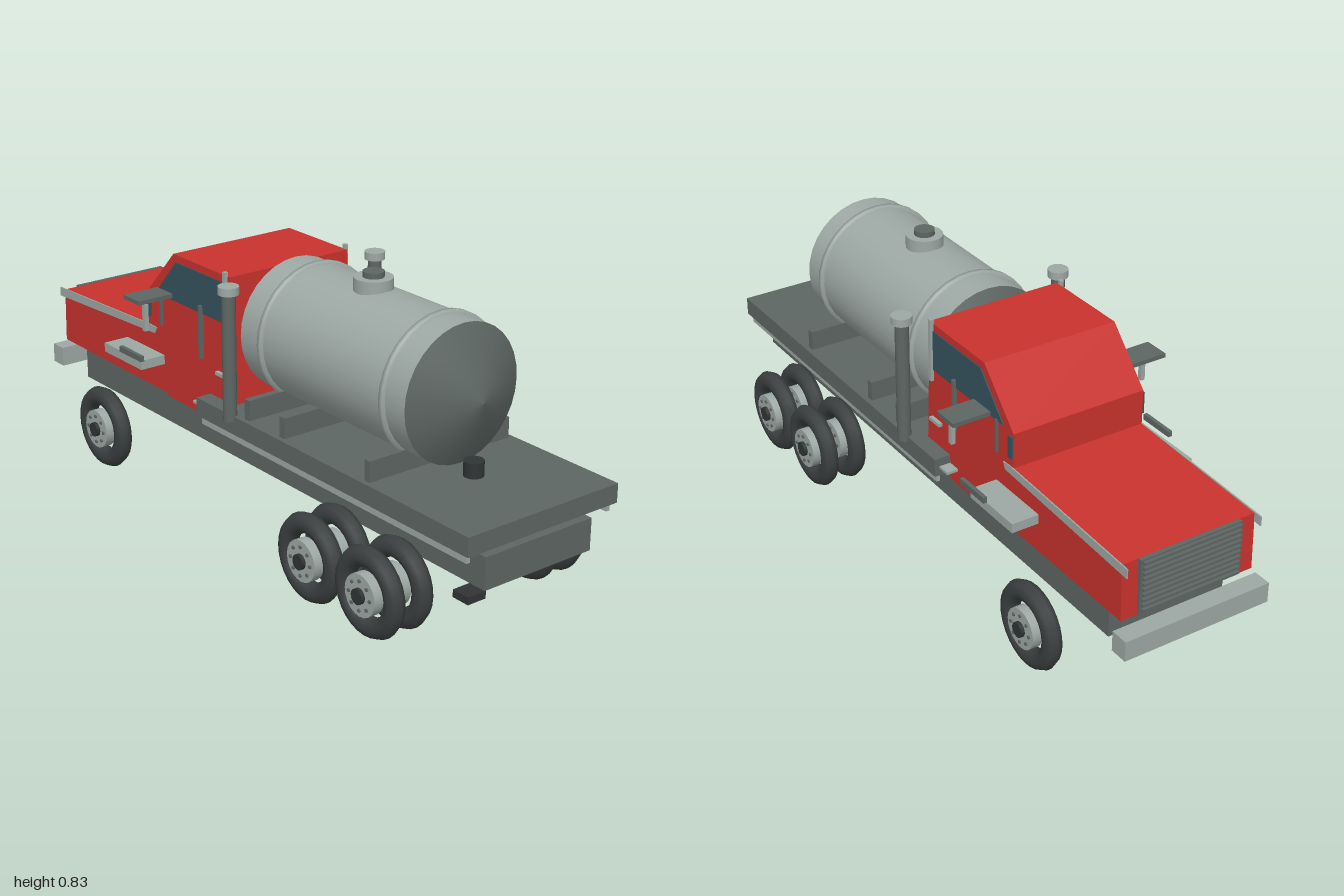
import * as THREE from 'three';

const mat = (color) => new THREE.MeshStandardMaterial({ color });

export function createModel() {
  const root = new THREE.Group();
  const red = mat(0xc8322d), dark = mat(0x5d6663), light = mat(0x9da8a4);
  const rubber = mat(0x3c4040), black = mat(0x303434), glass = mat(0x35535f), orange = mat(0xd0853f);
  light.side = THREE.DoubleSide;

  function add(name, geometry, material, x = 0, y = 0, z = 0, parent = root) {
    const mesh = new THREE.Mesh(geometry, material);
    mesh.name = name;
    mesh.position.set(x, y, z);
    parent.add(mesh);
    return mesh;
  }
  // Box given by its extents on each axis
  function box(name, material, x0, x1, y0, y1, z0, z1) {
    return add(name, new THREE.BoxGeometry(x1 - x0, y1 - y0, z1 - z0), material,
      (x0 + x1) / 2, (y0 + y1) / 2, (z0 + z1) / 2);
  }
  // The same box on both sides of the truck
  function sideBoxes(name, material, x0, x1, y0, y1, z0, z1) {
    box(name + 'Left', material, x0, x1, y0, y1, z0, z1);
    box(name + 'Right', material, x0, x1, y0, y1, -z1, -z0);
  }
  // Upright cylinder from y0 to y1
  function post(name, material, r, x, y0, y1, z) {
    return add(name, new THREE.CylinderGeometry(r, r, y1 - y0, 20), material, x, (y0 + y1) / 2, z);
  }
  // Side outline extruded across z
  function slab(name, material, points, z0, z1) {
    const shape = new THREE.Shape(points.map(([x, y]) => new THREE.Vector2(x, y)));
    const g = new THREE.ExtrudeGeometry(shape, { depth: z1 - z0, bevelEnabled: false });
    return add(name, g, material, 0, 0, z0);
  }

  // Chassis and flat bed
  box('chassis', dark, -0.87, 0.985, 0.205, 0.298, -0.185, 0.185);
  box('bed', dark, -0.15, 1, 0.325, 0.38, -0.26, 0.26);
  sideBoxes('bedRail', light, -0.14, 0.985, 0.3, 0.325, 0.238, 0.25);
  sideBoxes('sideMarker', orange, 0.69, 0.845, 0.275, 0.305, 0.197, 0.205);

  // Cab and hood
  slab('cabBody', red, [
    [-0.95, 0.315], [-0.37, 0.312], [-0.37, 0.303], [-0.15, 0.303], [-0.15, 0.318], [-0.03, 0.318],
    [-0.05, 0.757], [-0.325, 0.757], [-0.465, 0.61], [-0.465, 0.505], [-0.945, 0.484],
  ], -0.21, 0.21);
  for (const s of [1, -1]) {
    const z0 = s > 0 ? 0.209 : -0.213;
    slab('sideWindow', glass, [
      [-0.42, 0.615], [-0.05, 0.615], [-0.062, 0.735], [-0.31, 0.735],
    ], z0, z0 + 0.004);
    slab('hoodTrim', light, [
      [-0.97, 0.458], [-0.43, 0.485], [-0.42, 0.505], [-0.45, 0.507], [-0.97, 0.486],
    ], z0, z0 + 0.004);
  }
  sideBoxes('quarterLight', glass, -0.463, -0.448, 0.535, 0.6, 0.209, 0.217);

  // Grille with slats, and bumper
  box('grille', dark, -0.958, -0.945, 0.32, 0.485, -0.16, 0.16);
  for (let i = 0; i < 10; i++) {
    const y = 0.33 + i * 0.016;
    box('grilleSlat', dark, -0.968, -0.955, y, y + 0.007, -0.155, 0.155);
  }
  box('bumper', light, -1, -0.945, 0.23, 0.29, -0.23, 0.23);

  // Mirrors, handles and side boxes
  sideBoxes('mirrorArm', dark, -0.385, -0.305, 0.633, 0.645, 0.23, 0.345);
  sideBoxes('mirror', light, -0.332, -0.318, 0.545, 0.625, 0.305, 0.318);
  sideBoxes('doorBar', dark, -0.188, -0.18, 0.48, 0.64, 0.21, 0.224);
  sideBoxes('doorPost', dark, -0.394, -0.386, 0.52, 0.62, 0.21, 0.218);
  sideBoxes('cornerBar', light, -0.07, -0.058, 0.58, 0.77, 0.208, 0.22);
  sideBoxes('doorHandle', light, -0.11, -0.06, 0.453, 0.463, 0.208, 0.222);
  sideBoxes('grabHandle', light, -0.19, -0.15, 0.347, 0.355, 0.21, 0.245);
  sideBoxes('sideStep', light, -0.585, -0.385, 0.4, 0.428, 0.21, 0.293);
  sideBoxes('stepPad', dark, -0.475, -0.36, 0.436, 0.453, 0.298, 0.31);

  // Exhaust stacks
  for (const z of [0.26, -0.26]) {
    post('exhaustStack', dark, 0.02, 0.015, 0.365, 0.74, z);
    post('exhaustCap', light, 0.03, 0.015, 0.737, 0.76, z);
  }

  // Tank with pointed ends, bands, saddles and hatch
  const tank = new THREE.Group();
  tank.name = 'tank';
  tank.position.y = 0.59;
  tank.rotation.z = -Math.PI / 2;
  root.add(tank);
  const lathe = (name, pts, material) =>
    add(name, new THREE.LatheGeometry(pts.map(([r, h]) => new THREE.Vector2(r, h)), 32), material, 0, 0, 0, tank);
  lathe('tankShell', [[0.195, -0.02], [0.195, 0.68]], light);
  lathe('tankFrontEnd', [[0, -0.105], [0.075, -0.083], [0.195, -0.02]], dark);
  lathe('tankRearEnd', [[0.195, 0.68], [0.075, 0.743], [0, 0.765]], dark);
  for (const x of [0.075, 0.595]) {
    lathe('tankBand', [[0.19, x - 0.01], [0.205, x - 0.007], [0.205, x + 0.007], [0.19, x + 0.01]], light);
  }
  for (const x of [0.075, 0.235, 0.597]) {
    box('tankSaddle', dark, x - 0.011, x + 0.011, 0.38, 0.44, -0.245, 0.245);
  }
  post('hatch', light, 0.055, 0.32, 0.77, 0.815, 0);
  post('hatchCap', dark, 0.03, 0.32, 0.815, 0.831, 0);

  // Valve, drain pipe and foot
  post('valve', black, 0.028, 0.735, 0.38, 0.423, 0);
  post('drainPipe', light, 0.014, 0.735, 0.097, 0.38, 0);
  box('drainFoot', black, 0.705, 0.765, 0.022, 0.045, -0.032, 0.032);

  // Wheels: ring tyre, rim, hub and bolts, outward along +z
  function wheel(name, x, z, side) {
    const g = new THREE.Group();
    g.name = name;
    g.position.set(x, 0.13, z * side);
    if (side < 0) g.rotation.y = Math.PI;
    root.add(g);
    const tyre = new THREE.TorusGeometry(0.098, 0.03, 8, 28);
    tyre.scale(1, 1, 0.88);
    add('tyre', tyre, rubber, 0, 0, 0, g);
    const disc = (n, r, depth, material, px, py, pz) => {
      const c = new THREE.CylinderGeometry(r, r, depth, 20);
      c.rotateX(Math.PI / 2);
      add(n, c, material, px, py, pz, g);
    };
    disc('rim', 0.06, 0.03, light, 0, 0, 0.019);
    disc('hub', 0.022, 0.05, black, 0, 0, 0.02);
    for (let i = 0; i < 8; i++) {
      const a = (i * Math.PI) / 4;
      disc('wheelBolt', 0.005, 0.01, dark, 0.042 * Math.cos(a), 0.042 * Math.sin(a), 0.033);
    }
  }
  for (const side of [1, -1]) {
    wheel('frontWheel', -0.64, 0.267, side);
    for (const x of [0.46, 0.705]) {
      wheel('rearOuterWheel', x, 0.321, side);
      wheel('rearInnerWheel', x, 0.228, side);
    }
  }
  return root;
}
